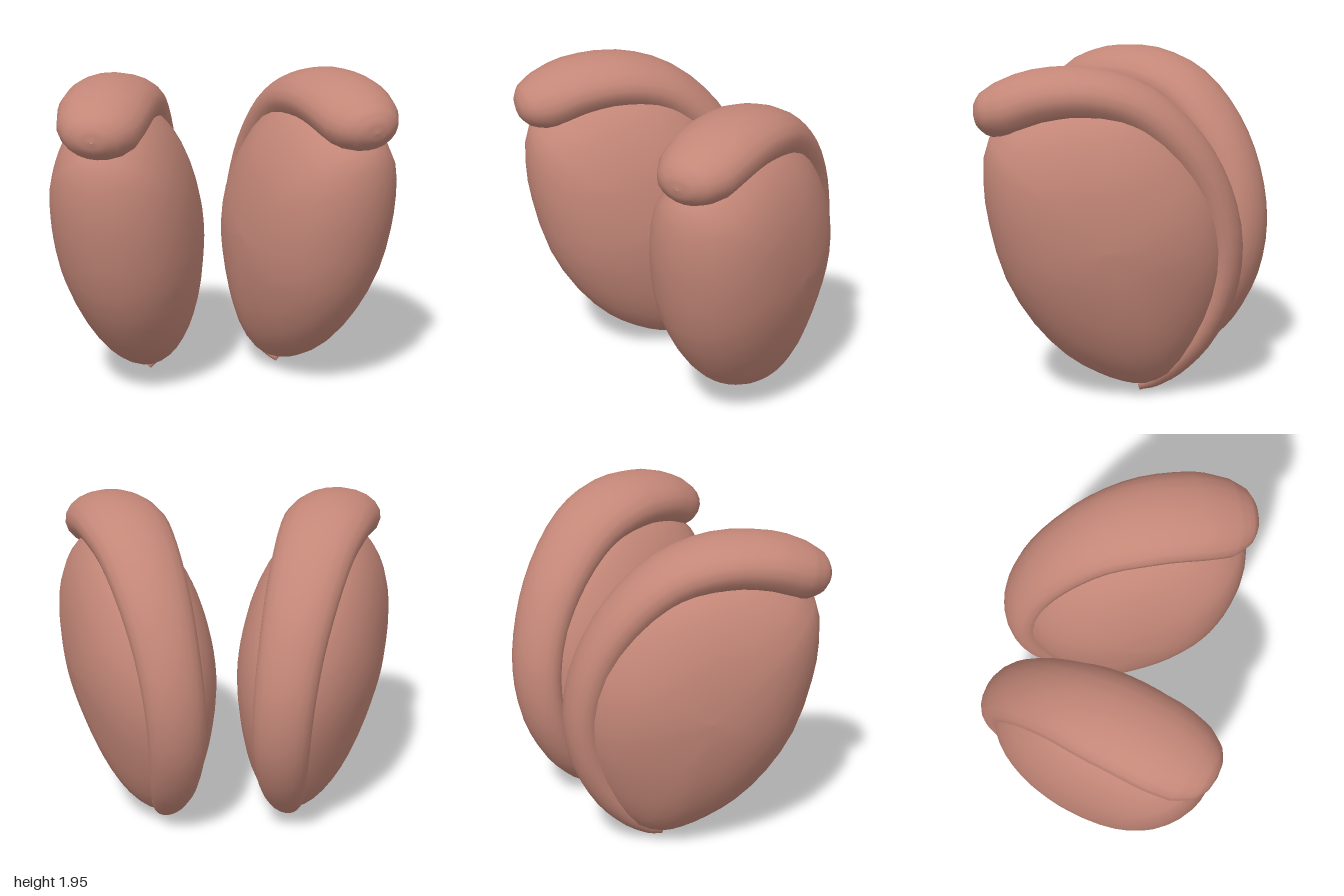
import * as THREE from 'three';

const V = (x, y, z = 0) => new THREE.Vector3(x, y, z);

// Each half is turned outwards towards the front and leans out at the top
const place = (side, w, y, z) => [
  side * (0.52 + 0.07 * (y - 1) + 0.32 * z + 0.95 * w), y, 0.98 * z - 0.31 * w,
];

// Smooth skin over closed rings of equal length
function loft(rings, side) {
  const n = rings[0].length, index = [];
  for (let j = 0; j < rings.length - 1; j++) {
    for (let i = 0; i < n; i++) {
      const a = j * n + i, b = j * n + (i + 1) % n, c = a + n, d = b + n;
      if (side > 0) index.push(a, b, c, b, d, c);
      else index.push(a, c, b, b, c, d);
    }
  }
  const geo = new THREE.BufferGeometry();
  geo.setAttribute('position', new THREE.Float32BufferAttribute(rings.flat(2), 3));
  geo.setIndex(index);
  geo.computeVertexNormals();
  return geo;
}

// Body outline as [z, y], from the upper front down to the bottom and up the back
const OUTLINE = [
  [0.655, 1.55], [0.7, 1.3], [0.68, 1.05], [0.6, 0.72], [0.45, 0.44], [0.27, 0.24],
  [0.1, 0.13], [-0.05, 0.07], [-0.17, 0.055], [-0.31, 0.11], [-0.47, 0.3], [-0.605, 0.6],
  [-0.65, 0.9], [-0.59, 1.22], [-0.43, 1.5], [-0.21, 1.71], [0.05, 1.79], [0.4, 1.74],
];

// Rim sections as [z, y, radius in the side plane, half width across]
const RIM = [
  [0.738, 1.675, 0.004, 0.005], [0.728, 1.676, 0.06, 0.085], [0.683, 1.682, 0.12, 0.168],
  [0.57, 1.702, 0.165, 0.24], [0.38, 1.768, 0.17, 0.272], [0.1, 1.785, 0.163, 0.272],
  [-0.17, 1.697, 0.153, 0.245], [-0.41, 1.475, 0.14, 0.218], [-0.56, 1.205, 0.128, 0.195],
  [-0.625, 0.9, 0.118, 0.182], [-0.585, 0.6, 0.112, 0.17], [-0.46, 0.335, 0.1, 0.145],
  [-0.32, 0.165, 0.08, 0.105], [-0.21, 0.075, 0.055, 0.065], [-0.16, 0.035, 0.03, 0.034],
  [-0.145, 0.006, 0.003, 0.003],
];

// Lens-shaped body, blunt at the front and thinning towards the bottom
function bodyGeometry(side) {
  const cz = 0.02, cy = 0.95, thick = 0.427, layers = 24;
  const points = new THREE.CatmullRomCurve3(OUTLINE.map(([z, y]) => V(z, y)), true).getPoints(36).slice(0, -1);
  const rings = [];
  for (let j = 0; j <= layers; j++) {
    const b = (j / layers - 0.5) * Math.PI;
    const s = Math.max(Math.cos(b), 0.002);
    rings.push(points.map((p) => {
      const dz = p.x - cz, dy = p.y - cy, len = Math.hypot(dz, dy);
      const c = dz / len, power = 2 + 0.33 * c + 0.35 * c * c + 0.35 * dy / len;
      const w = Math.sign(Math.round(b * 1000)) * thick * Math.sqrt(Math.max(0, 1 - s ** power));
      return place(side, w, cy + dy * s, cz + dz * s);
    }));
  }
  return loft(rings, side);
}

// Rounded roll running over the top and down the back to the tip
function rimGeometry(side) {
  const path = new THREE.CatmullRomCurve3(RIM.map(([z, y]) => V(z, y)));
  const size = new THREE.CatmullRomCurve3(RIM.map(([, , r, w]) => V(r, w)));
  const steps = (RIM.length - 1) * 3, around = 20, rings = [];
  for (let j = 0; j <= steps; j++) {
    const p = path.getPoint(j / steps), q = size.getPoint(j / steps);
    const before = path.getPoint(Math.max(0, j - 1) / steps);
    const after = path.getPoint(Math.min(steps, j + 1) / steps);
    const t = after.sub(before).normalize();
    const ring = [];
    for (let i = 0; i < around; i++) {
      const a = (i / around) * Math.PI * 2;
      const r = q.x * Math.cos(a), w = q.y * Math.sin(a);
      ring.push(place(side, w, p.y - t.x * r, p.x + t.y * r));
    }
    rings.push(ring);
  }
  return loft(rings, side);
}

export function createModel() {
  const model = new THREE.Group();
  model.name = 'pairedLobes';
  const clay = new THREE.MeshStandardMaterial({ color: 0xc48778 });
  clay.name = 'dustyPink';

  for (const [name, side] of [['left', 1], ['right', -1]]) {
    const half = new THREE.Group();
    half.name = name + 'Lobe';
    const body = new THREE.Mesh(bodyGeometry(side), clay);
    body.name = name + 'Body';
    const rim = new THREE.Mesh(rimGeometry(side), clay);
    rim.name = name + 'Rim';
    half.add(body, rim);
    model.add(half);
  }
  return model;
}
